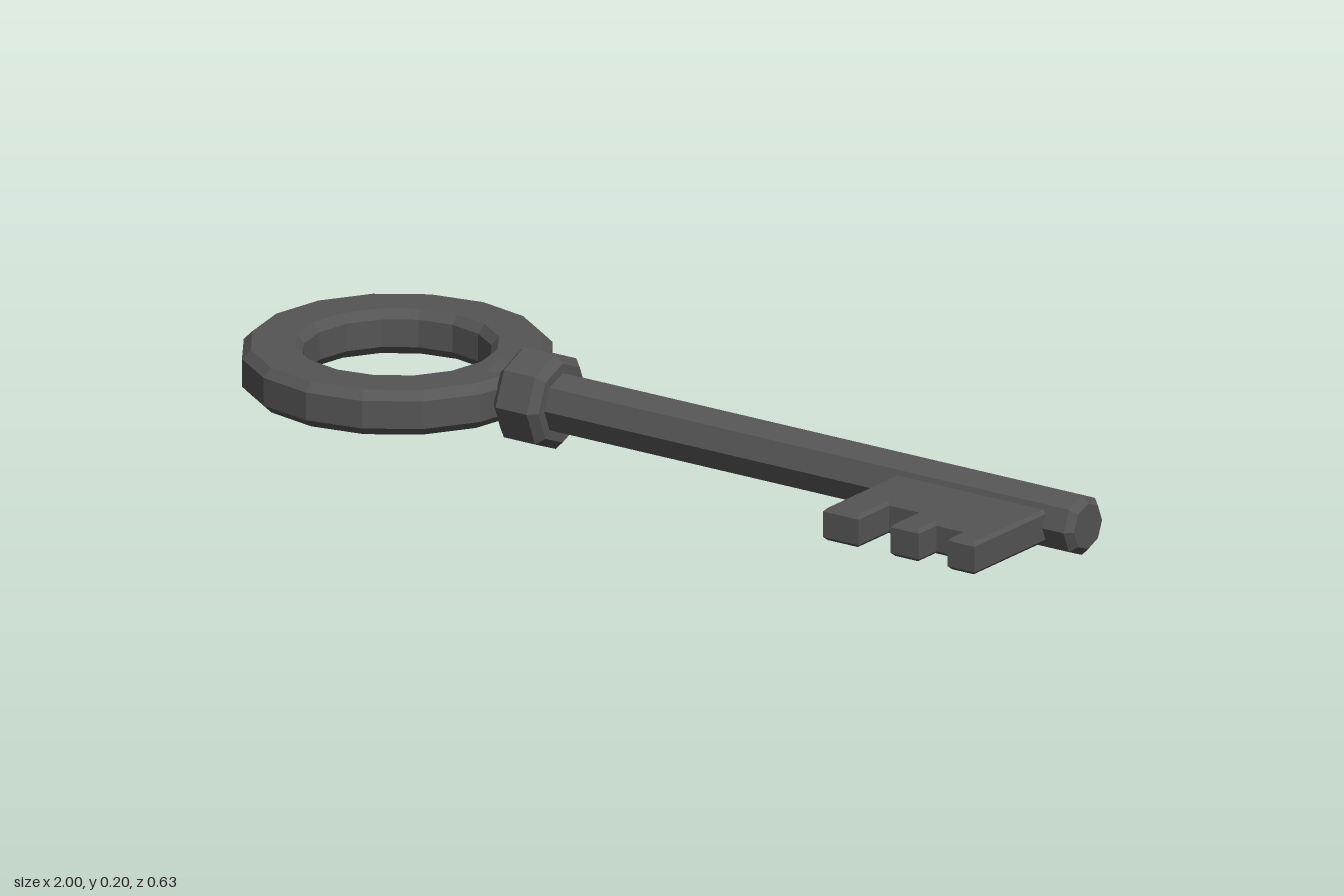
import * as THREE from 'three';

const AXIS_Y = 0.1; // height of the key's centre line

// Faceted lathe from [radius, height] points
function facetedLathe(points, sides) {
  const geo = new THREE.LatheGeometry(points.map(p => new THREE.Vector2(...p)), sides).toNonIndexed();
  geo.computeVertexNormals();
  return geo;
}

export function createModel() {
  const key = new THREE.Group();
  key.name = 'key';
  const iron = new THREE.MeshStandardMaterial({ color: 0x555555 });
  iron.name = 'dark iron';

  const add = (name, geo, x) => {
    const mesh = new THREE.Mesh(geo, iron);
    mesh.name = name;
    mesh.position.set(x, AXIS_Y, 0);
    key.add(mesh);
  };

  // Ring handle with chamfered edges
  const h = 0.047, c = 0.018, outer = 0.313, inner = 0.19;
  add('ringHandle', facetedLathe([
    [outer, -h + c], [outer, h - c], [outer - c, h], [inner + 0.015, h],
    [inner, h - c], [inner, -h + c], [inner + 0.015, -h], [outer - c, -h], [outer, -h + c],
  ], 16), -0.687);

  // Octagonal shaft, its tip chamfered
  add('shaft', facetedLathe([
    [0, -0.44], [0.063, -0.44], [0.063, 0.985], [0.048, 1], [0, 1],
  ], 8).rotateZ(-Math.PI / 2), 0);

  // Collar between ring and shaft
  add('collar', facetedLathe([
    [0, -0.055], [0.083, -0.055], [0.1, -0.038], [0.1, 0.038], [0.083, 0.055], [0, 0.055],
  ], 8).rotateZ(-Math.PI / 2), -0.338);

  // Toothed bit: outline in x and z, inset by the bevel
  const b = 0.007;
  const outline = [
    [0.563, 0.02], [0.933, 0.02], [0.933, 0.295], [0.867, 0.295], [0.867, 0.235], [0.797, 0.235],
    [0.797, 0.295], [0.728, 0.295], [0.728, 0.19], [0.65, 0.19], [0.65, 0.295], [0.563, 0.295],
  ];
  const bit = new THREE.ExtrudeGeometry(new THREE.Shape(outline.map(p => new THREE.Vector2(...p))), {
    depth: 0.068 - 2 * b, bevelEnabled: true, bevelThickness: b, bevelSize: b, bevelOffset: -b, bevelSegments: 1,
  });
  bit.translate(0, 0, -0.034 + b).rotateX(Math.PI / 2);
  add('bit', bit, 0);

  return key;
}
